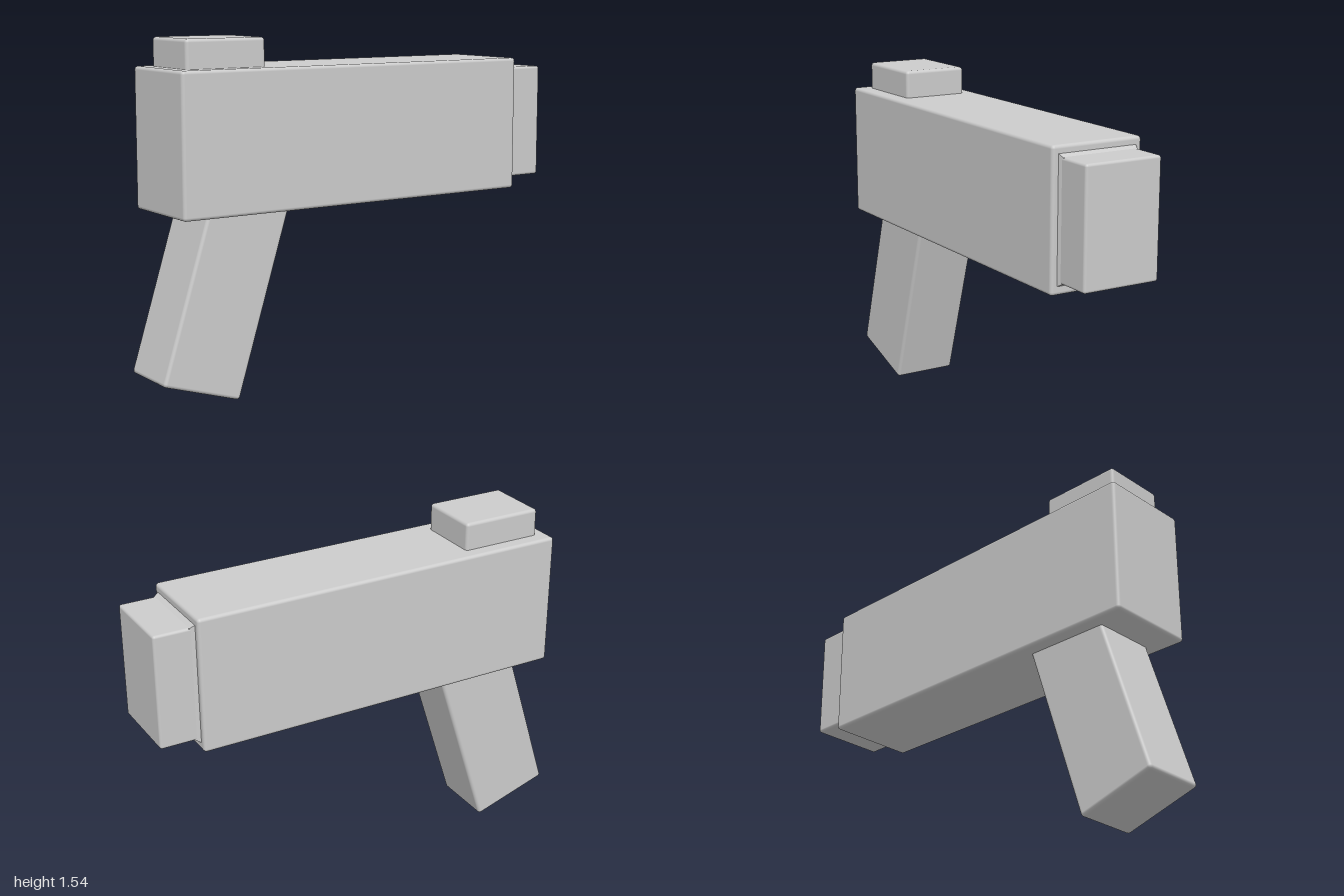
import * as THREE from 'three';
import { RoundedBoxGeometry } from 'three/addons/geometries/RoundedBoxGeometry.js';

const material = new THREE.MeshStandardMaterial({ color: 0xcccccc });

// Soft-edged block, given by its size and centre
function block(name, [w, h, d], [x, y, z], radius = 0.015) {
  const mesh = new THREE.Mesh(new RoundedBoxGeometry(w, h, d, 3, radius), material);
  mesh.name = name;
  mesh.position.set(x, y, z);
  return mesh;
}

export function createModel() {
  const group = new THREE.Group();
  group.name = 'toyBlaster';

  // Long main body
  group.add(block('body', [1.75, 0.61, 0.43], [-0.055, 1.11, 0]));

  // Muzzle block, partly sunk into the body's end
  group.add(block('muzzle', [0.3, 0.515, 0.36], [0.85, 1.112, 0], 0.012));

  // Small flare where the muzzle meets the body
  const flareGeometry = new THREE.BoxGeometry(0.035, 0.55, 0.38).toNonIndexed();
  const p = flareGeometry.attributes.position;
  for (let i = 0; i < p.count; i++) {
    if (p.getX(i) > 0) p.setXYZ(i, p.getX(i), p.getY(i) * 0.925, p.getZ(i) * 0.93);
  }
  flareGeometry.computeVertexNormals();
  const flare = new THREE.Mesh(flareGeometry, material);
  flare.name = 'muzzleFlare';
  flare.position.set(0.8275, 1.112, 0);
  group.add(flare);

  // Block on top at the rear
  group.add(block('rearSight', [0.375, 0.2, 0.3], [-0.6875, 1.439, 0]));

  // Slanted grip, its upper end hidden in the body
  const grip = block('grip', [0.378, 0.955, 0.3], [-0.679, 0.51, 0]);
  grip.rotation.z = THREE.MathUtils.degToRad(-17.4);
  group.add(grip);

  return group;
}
